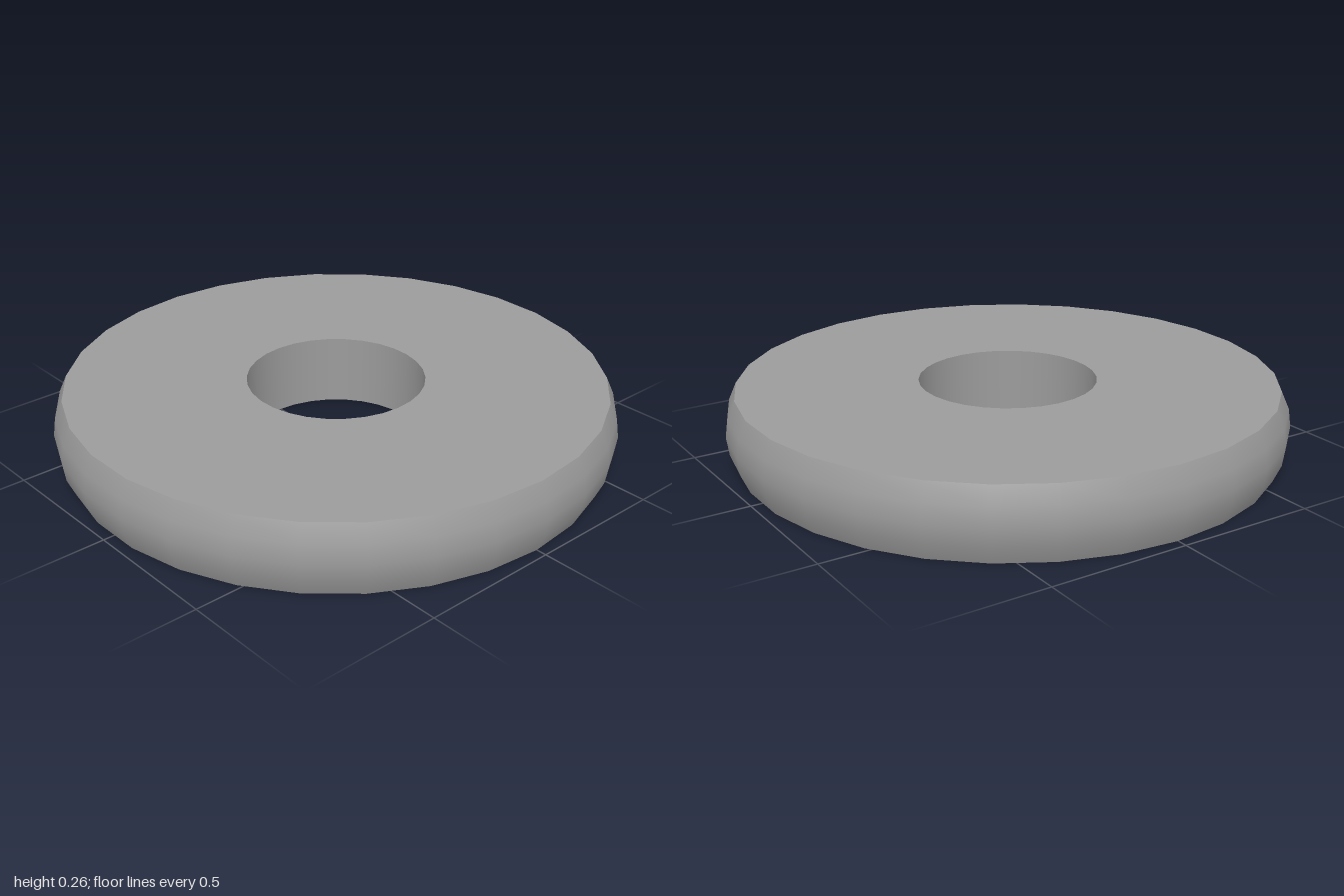
import * as THREE from 'three';

const SIDES = 30;
const HEIGHT = 0.256;
const HOLE = 0.318; // bore radius
const FACE = 0.963; // radius of the flat faces
const BULGE = 0.037; // how far the rim swells past the faces

export function createModel() {
  const group = new THREE.Group();
  group.name = 'ring';
  const material = new THREE.MeshStandardMaterial({ color: 0x9b9b9b });

  // Each surface is its own lathe so the edges between them stay sharp
  const addSurface = (name, points) => {
    const profile = points.map(([r, y]) => new THREE.Vector2(r, y));
    const mesh = new THREE.Mesh(new THREE.LatheGeometry(profile, SIDES, Math.PI / 2), material);
    mesh.name = name;
    group.add(mesh);
  };

  // Rim: a shallow circular arc bulging outwards
  const half = HEIGHT / 2;
  const arcRadius = (half * half + BULGE * BULGE) / (2 * BULGE);
  const sweep = Math.asin(half / arcRadius);
  const rim = [];
  const steps = 4;
  for (let i = 0; i <= steps; i++) {
    const a = sweep * (2 * i / steps - 1);
    rim.push([FACE + BULGE - arcRadius * (1 - Math.cos(a)), half + arcRadius * Math.sin(a)]);
  }
  addSurface('rim', rim);

  // Flat faces and the straight bore
  addSurface('topFace', [[FACE, HEIGHT], [HOLE, HEIGHT]]);
  addSurface('bore', [[HOLE, HEIGHT], [HOLE, 0]]);
  addSurface('bottomFace', [[HOLE, 0], [FACE, 0]]);

  return group;
}
